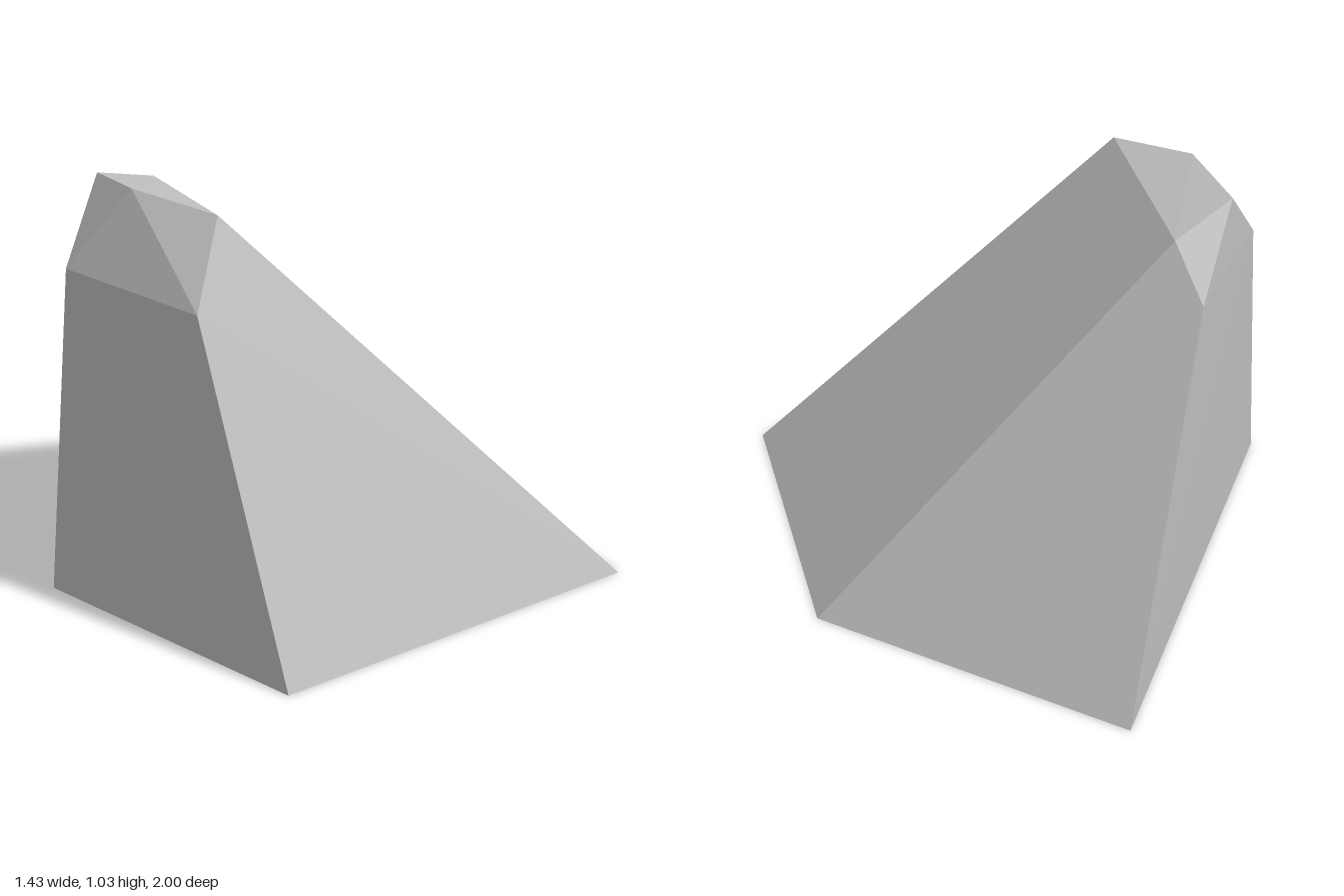
import * as THREE from 'three';
import { ConvexGeometry } from 'three/addons/geometries/ConvexGeometry.js';

export function createModel() {
  const group = new THREE.Group();
  group.name = 'rock';
  const stone = new THREE.MeshStandardMaterial({ color: 0xbcbcbc });
  stone.name = 'stone grey';

  // five-sided footprint on the ground
  const base = [
    [0.055, 0, -1], [0.715, 0, -0.34], [0.715, 0, 0.63],
    [-0.39, 0, 1], [-0.72, 0, 0.17],
  ];
  // chipped shoulder, lower than the crest
  const shoulder = [
    [-0.614, 0.815, 0], [-0.43, 0.79, 0.51], [-0.287, 0.865, -0.485],
  ];
  // crest along the steep side
  const crest = [
    [-0.31, 0.995, 0.33], [-0.455, 1.03, 0.08],
    [-0.46, 1.025, -0.215], [-0.26, 0.983, -0.335],
  ];

  // the facets are the hull of these corners
  const corners = [...base, ...shoulder, ...crest].map((p) => new THREE.Vector3(...p));
  const boulder = new THREE.Mesh(new ConvexGeometry(corners), stone);
  boulder.name = 'boulder';
  group.add(boulder);
  return group;
}
